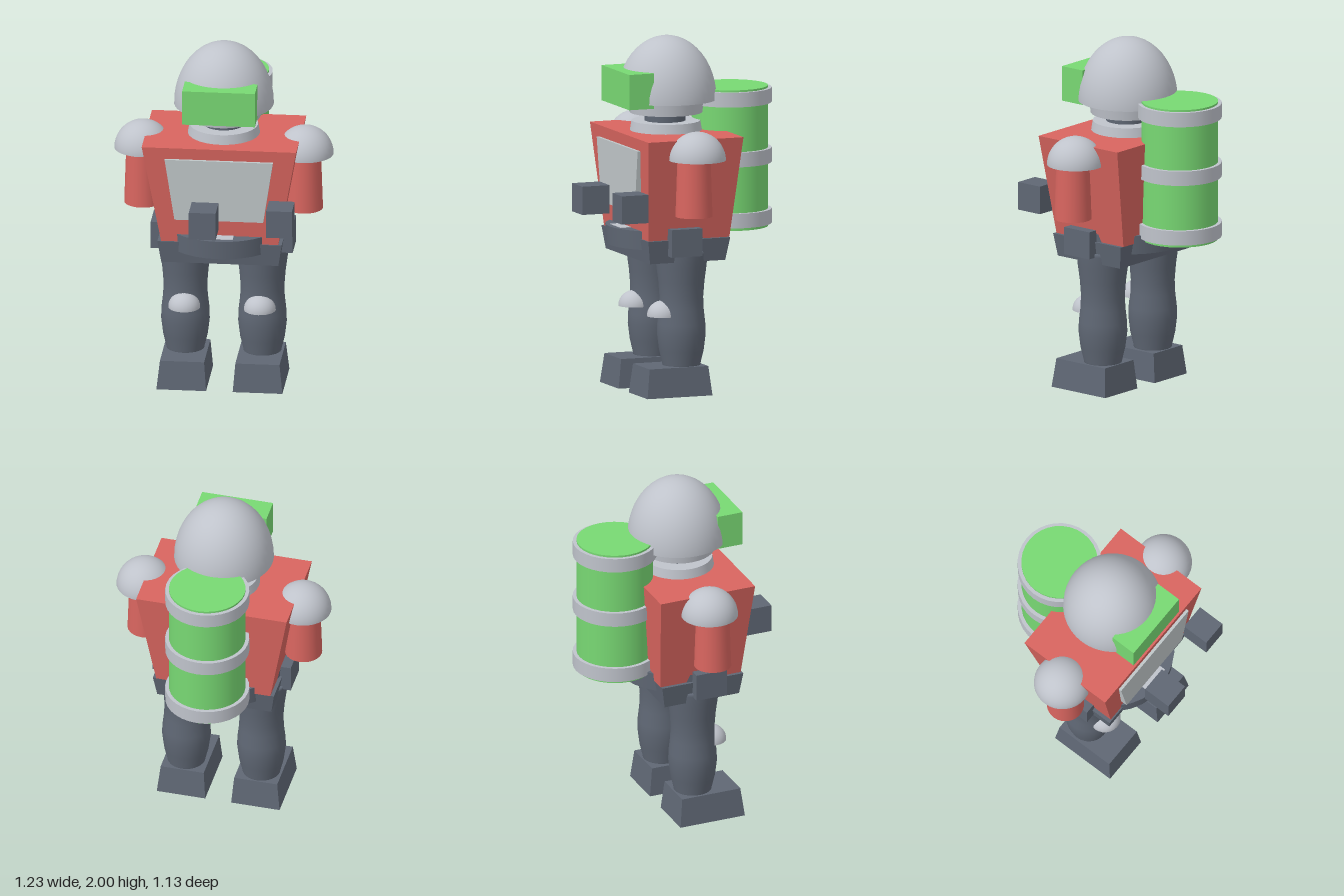
import * as THREE from 'three';
import { mergeGeometries } from 'three/addons/utils/BufferGeometryUtils.js';

const material = (name, color) => {
  const m = new THREE.MeshStandardMaterial({ color });
  m.name = name;
  return m;
};

// Box from y0 to y1 whose bottom and top rectangles differ: [x0, x1, z0, z1]
function taperedBox(y0, y1, bottom, top = bottom) {
  const g = new THREE.BoxGeometry(1, 1, 1);
  const p = g.attributes.position;
  for (let i = 0; i < p.count; i++) {
    const up = p.getY(i) > 0;
    const r = up ? top : bottom;
    p.setXYZ(i, p.getX(i) < 0 ? r[0] : r[1], up ? y1 : y0, p.getZ(i) < 0 ? r[2] : r[3]);
  }
  g.computeVertexNormals();
  return g;
}

// Half ellipsoid with a flat closed base at y = 0
function dome(r, h, segments = 32) {
  const shell = new THREE.SphereGeometry(1, segments, 12, 0, Math.PI * 2, 0, Math.PI / 2).scale(r, h, r);
  const base = new THREE.CircleGeometry(r, segments).rotateX(Math.PI / 2);
  return mergeGeometries([shell, base]);
}

// Upright cylinder between two heights
function drum(y0, y1, rBottom, rTop, segments = 32) {
  return new THREE.CylinderGeometry(rTop, rBottom, y1 - y0, segments).translate(0, (y0 + y1) / 2, 0);
}

export function createModel() {
  const red = material('red', 0xd8655f);
  const green = material('green', 0x78d873);
  const dark = material('dark slate', 0x5f6774);
  const silver = material('silver', 0xbfc3cb);
  const pale = material('pale grey', 0xbfc6c8);

  const model = new THREE.Group();
  model.name = 'robot';
  const add = (name, geometry, mat, x = 0, y = 0, z = 0) => {
    const mesh = new THREE.Mesh(geometry, mat);
    mesh.name = name;
    mesh.position.set(x, y, z);
    model.add(mesh);
    return mesh;
  };
  const midZ = 0.05;

  // Head and neck
  add('helmet', dome(0.28, 0.36, 40), silver, 0, 1.64, midZ);
  add('visor', taperedBox(1.62, 1.82, [-0.205, 0.205, 0.21, 0.36]), green);
  add('helmetRing', drum(1.567, 1.65, 0.205, 0.215), silver, 0, 0, 0.055);
  add('neck', drum(1.5, 1.58, 0.115, 0.115, 24), dark, 0, 0, 0.06);
  add('collar', drum(1.45, 1.52, 0.205, 0.193), silver, 0, 0, 0.055);

  // Torso with chest panel
  add('torso', taperedBox(0.89, 1.466, [-0.33, 0.33, -0.195, 0.295], [-0.435, 0.435, -0.238, 0.338]), red);
  add('chestPanel', taperedBox(1.04, 1.4, [-0.25, 0.25, 0.29, 0.346], [-0.305, 0.305, 0.29, 0.35]), pale);

  // Hips and belt
  add('hips', taperedBox(0.76, 0.89, [-0.33, 0.33, -0.17, 0.285], [-0.35, 0.35, -0.192, 0.303]), dark);
  add('belt', drum(0.828, 0.935, 0.338, 0.345), dark, 0, 0, midZ);
  add('buckle', taperedBox(0.93, 0.938, [-0.08, 0.08, 0.28, 0.36]), silver);

  // Hands, held at different places
  add('rightHand', taperedBox(1.01, 1.17, [-0.147, 0.004, 0.397, 0.562]), dark);
  add('leftHand', taperedBox(1.01, 1.17, [0.282, 0.427, 0.335, 0.494]), dark);

  // Leg outline from ankle to hip
  const legProfile = [
    [0.106, 0.13], [0.107, 0.17], [0.126, 0.25], [0.137, 0.34], [0.135, 0.4],
    [0.126, 0.48], [0.123, 0.55], [0.13, 0.64], [0.142, 0.73], [0.148, 0.8], [0.148, 0.82],
  ].map(([r, y]) => new THREE.Vector2(r, y));
  legProfile.unshift(new THREE.Vector2(0, 0.13));
  legProfile.push(new THREE.Vector2(0, 0.82));

  // Mirrored limbs
  for (const [side, s] of [['left', 1], ['right', -1]]) {
    const span = (a, b) => (s > 0 ? [a, b] : [-b, -a]);
    add(side + 'Shoulder', dome(0.16, 0.16), silver, s * 0.457, 1.355, midZ);
    add(side + 'UpperArm', drum(1.037, 1.42, 0.105, 0.092, 24), red, s * 0.455, 0, 0.07);
    add(side + 'HipPod', taperedBox(0.8, 0.957, [...span(0.32, 0.4), -0.004, 0.18]), dark);
    add(side + 'Leg', new THREE.LatheGeometry(legProfile, 28), dark, s * 0.217, 0, midZ);
    add(side + 'Knee', dome(0.09, 0.087, 24), silver, s * 0.213, 0.445, 0.16);
    add(side + 'Foot', taperedBox(0, 0.165,
      [...span(0.075, 0.355), -0.083, 0.31], [...span(0.088, 0.337), -0.065, 0.29]), dark);
  }

  // Back tank with three bands
  add('tank', drum(0.9, 1.697, 0.215, 0.215), green, 0, 0, -0.331);
  for (const [name, y] of [['lowerBand', 0.917], ['middleBand', 1.263], ['upperBand', 1.603]]) {
    add(name, drum(y, y + 0.083, 0.236, 0.236), silver, 0, 0, -0.331);
  }
  return model;
}
